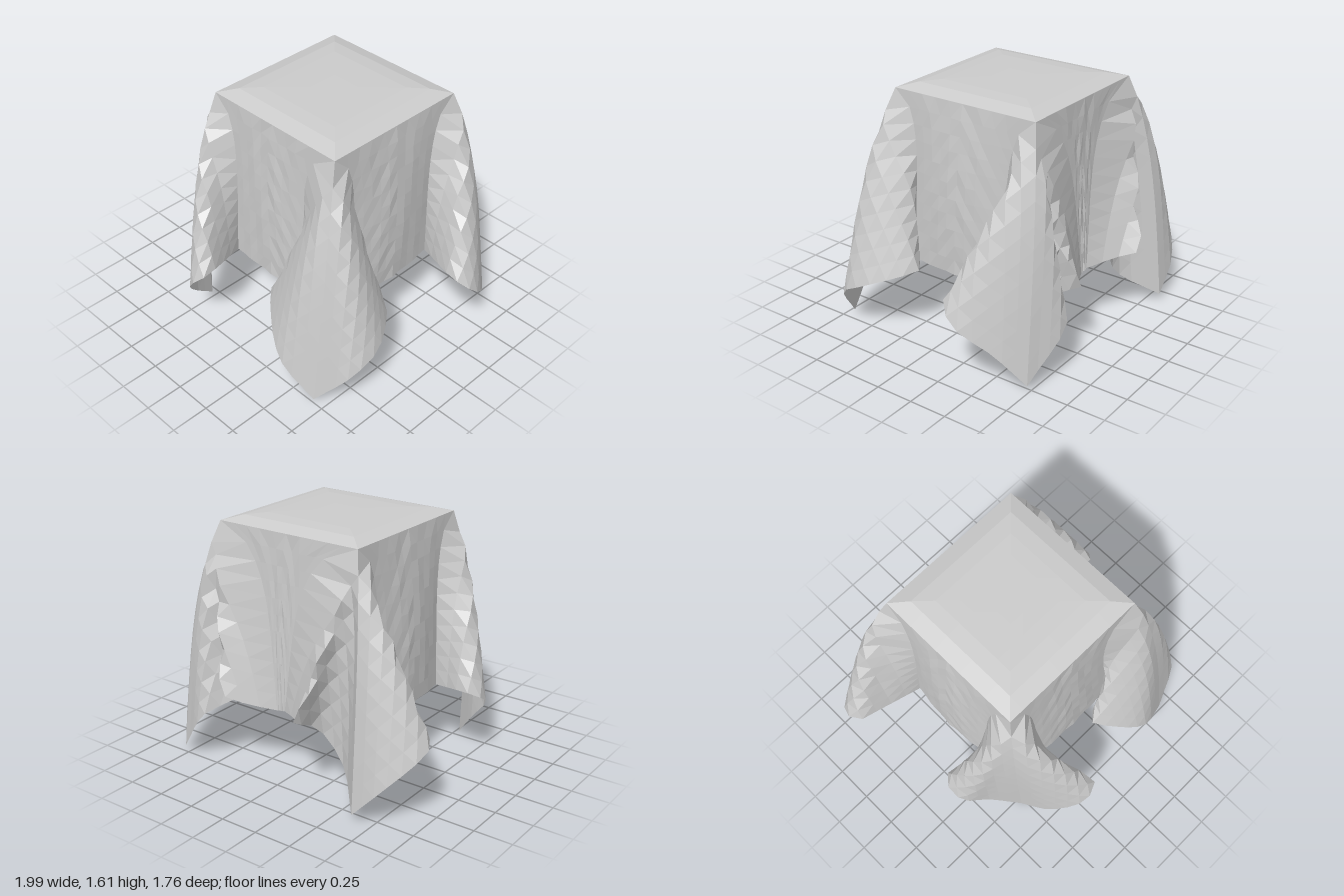
import * as THREE from 'three';

const CX = 0.01, CZ = -0.09;      // centre of the block
const HALF = 0.51, EDGE_Y = 1.57; // draped edge of the block
const FLAT = 0.5, DROP = 1.1;     // flat cloth: top half-width and overhang
const CELLS = 32;

// One corner fold: its hem as two curves meeting at the lowest tip, running from
// the front/back panel, past the tip, to the side panel, and how far the creases
// beside those panels bow in along x and z.
function cornerFold(bowX, bowZ, toTip, fromTip) {
  const curve = (pts) => new THREE.CatmullRomCurve3(
    pts.map((p) => new THREE.Vector3(...p)), false, 'centripetal');
  const a = curve(toTip);
  const b = curve([toTip[toTip.length - 1], ...fromTip]);
  const hem = (s) => (s <= 0.5 ? a.getPointAt(s * 2) : b.getPointAt(Math.min(1, s * 2 - 1)));
  return { bowX, bowZ, hem };
}

// Keyed by the signs of x and z
const folds = {
  '1,1': cornerFold(0.19, 0.12,
    [[0.36, 0.47, 0.46], [0.11, 0.48, 0.54], [0.22, 0.38, 0.67], [0.42, 0.2, 0.78], [0.66, 0, 0.73]],
    [[0.88, 0.28, 0.6], [0.9, 0.38, 0.42], [0.74, 0.47, 0.18], [0.65, 0.48, 0.15], [0.54, 0.47, 0.3]]),
  '-1,1': cornerFold(0.12, 0.12,
    [[-0.32, 0.47, 0.46], [-0.18, 0.55, 0.85], [-0.28, 0.45, 0.89], [-0.45, 0.2, 0.74], [-0.53, 0.01, 0.54]],
    [[-0.7, 0.22, 0.4], [-0.85, 0.4, 0.31], [-0.86, 0.48, 0.19], [-0.8, 0.51, 0.14], [-0.62, 0.48, 0.2],
      [-0.53, 0.47, 0.22]]),
  '1,-1': cornerFold(0.2, 0.12,
    [[0.07, 0.45, -0.65], [0.25, 0.48, -0.74], [0.37, 0.54, -0.83], [0.39, 0.45, -0.67],
      [0.5, 0.38, -0.83], [0.78, 0.04, -0.74]],
    [[0.9, 0.25, -0.58], [1.0, 0.42, -0.36], [0.93, 0.53, -0.25], [0.54, 0.47, -0.4]]),
  '-1,-1': cornerFold(0.24, 0.12,
    [[0.01, 0.46, -0.65], [-0.17, 0.5, -0.77], [-0.25, 0.54, -0.89], [-0.26, 0.43, -0.67],
      [-0.42, 0.23, -0.64], [-0.63, 0.05, -0.84]],
    [[-0.82, 0.25, -0.82], [-0.99, 0.45, -0.66], [-0.98, 0.5, -0.54], [-0.8, 0.48, -0.49], [-0.53, 0.47, -0.42]]),
};

const blockCorner = (sx, sz) => new THREE.Vector3(CX + sx * HALF, EDGE_Y, CZ + sz * HALF);

// Corner fold: every ray of the flat sheet runs from the block corner to the hem
function foldPoint(sx, sz, a, b) {
  const s = a <= b ? 0.5 * (a / b) : 1 - 0.5 * (b / a);
  const t = Math.max(a, b) / DROP;
  const { hem, bowX, bowZ } = folds[`${sx},${sz}`];
  const p = blockCorner(sx, sz).lerp(hem(s), t);
  const bulge = 0.045 * Math.sin(Math.PI * Math.pow(t, 0.7)) * Math.sin(Math.PI * s);
  const bow = Math.sin(Math.PI * Math.sqrt(t));
  p.x += sx * (bulge - bowX * bow * Math.max(0, 1 - s / 0.12));
  p.z += sz * (bulge - bowZ * bow * Math.max(0, 1 - (1 - s) / 0.12));
  return p;
}

// Side panel: spans between the neighbouring folds, bellying out slightly
function panelPoint(u, v) {
  const alongX = Math.abs(v) > FLAT;
  const across = alongX ? u : v;
  const sign = Math.sign(alongX ? v : u);
  const t = (Math.abs(alongX ? v : u) - FLAT) / DROP;
  const k = across / (2 * FLAT) + 0.5;
  const end = (e) => (alongX ? foldPoint(e, sign, 0, t * DROP) : foldPoint(sign, e, t * DROP, 0));
  const p = end(-1).lerp(end(1), k);
  const depth = alongX ? (sign > 0 ? 0.02 : 0) : 0.045;
  const wave = 0.006 * Math.sin(across * 23 + t * 11) * Math.sin(t * 17);
  const belly = (depth * Math.sin(Math.PI * Math.min(1, t * 0.75)) + wave) * Math.sin(Math.PI * k);
  p[alongX ? 'z' : 'x'] += sign * belly;
  return p;
}

// Where a point of the flat cloth comes to rest
function drape(u, v) {
  const a = Math.abs(u) - FLAT, b = Math.abs(v) - FLAT, eps = 1e-4;
  if (a > eps && b > eps) return foldPoint(Math.sign(u), Math.sign(v), a, b);
  if (a > eps || b > eps) return panelPoint(u, v);
  const r = Math.max(Math.abs(u), Math.abs(v)) / FLAT;
  const k = HALF / FLAT;
  return new THREE.Vector3(CX + u * k, EDGE_Y + 0.04 * (1 - Math.pow(r, 6)), CZ + v * k);
}

export function createModel() {
  const group = new THREE.Group();

  // Square cloth, one grid draped over the block
  const step = 2 * (FLAT + DROP) / CELLS, row = CELLS + 1;
  const positions = [], index = [];
  for (let j = 0; j <= CELLS; j++) {
    for (let i = 0; i <= CELLS; i++) {
      const p = drape((i - CELLS / 2) * step, (j - CELLS / 2) * step);
      positions.push(p.x, p.y, p.z);
      if (i === CELLS || j === CELLS) continue;
      const a = j * row + i, b = a + row, c = b + 1, d = a + 1;
      // cell diagonals run out towards the cloth corners, along the folds
      if ((i < CELLS / 2) === (j < CELLS / 2)) index.push(a, b, c, a, c, d);
      else index.push(a, b, d, b, c, d);
    }
  }
  const sheet = new THREE.BufferGeometry();
  sheet.setAttribute('position', new THREE.Float32BufferAttribute(positions, 3));
  sheet.setIndex(index);
  sheet.computeVertexNormals();
  const cloth = new THREE.Mesh(sheet, new THREE.MeshStandardMaterial({
    color: 0xcccccc, flatShading: true, side: THREE.DoubleSide }));
  cloth.name = 'cloth';
  group.add(cloth);

  // Block under the cloth
  const block = new THREE.Mesh(new THREE.BoxGeometry(0.97, 0.96, 0.97),
    new THREE.MeshStandardMaterial({ color: 0xcccccc, flatShading: true }));
  block.name = 'block';
  block.position.set(CX, 1.09, CZ);
  group.add(block);

  return group;
}
